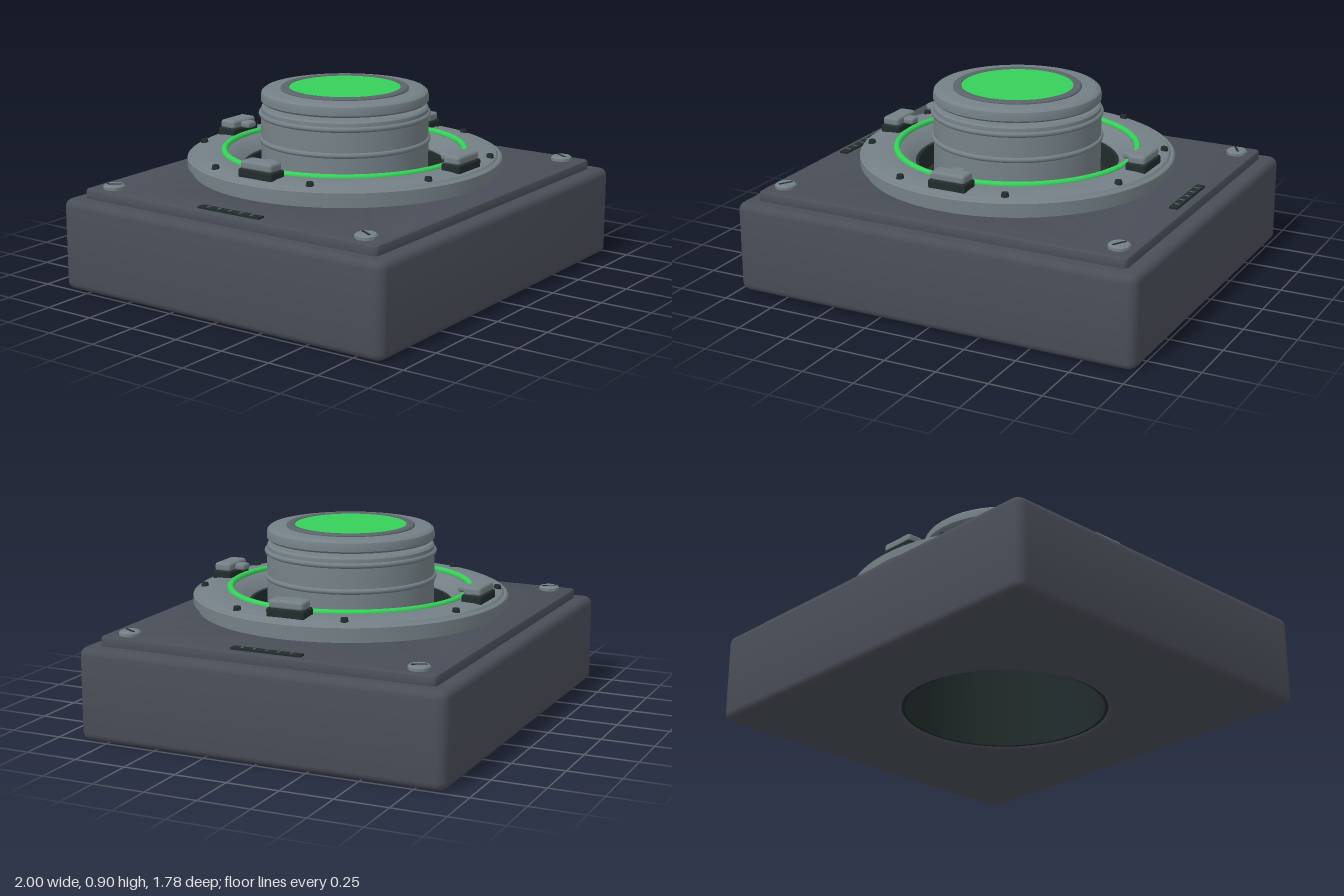
import * as THREE from 'three';
import { toCreasedNormals } from 'three/addons/utils/BufferGeometryUtils.js';
import { RoundedBoxGeometry } from 'three/addons/geometries/RoundedBoxGeometry.js';

const mat = (name, color) => new THREE.MeshStandardMaterial({ name, color });

export function createModel() {
  const root = new THREE.Group();
  root.name = 'pushButton';
  const casing = mat('casing slate', 0x4a4e58);
  const metal = mat('metal grey', 0x748086);
  const shade = mat('dark metal', 0x5a6469);
  const dark = mat('black rubber', 0x222c2c);
  const green = mat('signal green', 0x36d05a);

  const add = (name, geo, material, x = 0, y = 0, z = 0, parent = root) => {
    const mesh = new THREE.Mesh(geo, material);
    mesh.name = name;
    mesh.position.set(x, y, z);
    parent.add(mesh);
    return mesh;
  };
  const lathe = (pts) => toCreasedNormals(
    new THREE.LatheGeometry(pts.map(([r, y]) => new THREE.Vector2(r, y)), 96), 0.6);

  // Rounded slab with a round through hole, standing on y0
  const slab = (w, d, h, bevel, hole, y0) => {
    const a = w / 2 - bevel, b = d / 2 - bevel, r = 0.015;
    const s = new THREE.Shape();
    s.moveTo(-a + r, -b);
    s.lineTo(a - r, -b).quadraticCurveTo(a, -b, a, -b + r);
    s.lineTo(a, b - r).quadraticCurveTo(a, b, a - r, b);
    s.lineTo(-a + r, b).quadraticCurveTo(-a, b, -a, b - r);
    s.lineTo(-a, -b + r).quadraticCurveTo(-a, -b, -a + r, -b);
    s.holes.push(new THREE.Path().absarc(0, 0, hole + bevel, 0, Math.PI * 2, true));
    const g = new THREE.ExtrudeGeometry(s, {
      depth: h - 2 * bevel, bevelEnabled: true, bevelSize: bevel,
      bevelThickness: bevel, bevelSegments: 4, curveSegments: 32,
    });
    g.rotateX(-Math.PI / 2).translate(0, y0 + bevel, 0);
    return toCreasedNormals(g, 0.6);
  };

  // Housing
  add('housing', slab(2, 1.78, 0.43, 0.035, 0.478, 0), casing);
  add('topPlate', slab(1.85, 1.63, 0.055, 0.012, 0.478, 0.42), casing);
  add('holeLiner', lathe([[0.466, 0.02], [0.482, 0.02], [0.482, 0.53], [0.466, 0.53], [0.466, 0.02]]), dark);
  add('bezelSeat', lathe([[0.48, 0.47], [0.51, 0.47], [0.51, 0.505], [0.48, 0.505]]), shade);

  // Bezel, sloping outward from the light ring and inward to the hole
  add('bezel', lathe([
    [0.481, 0.5], [0.72, 0.5], [0.72, 0.53], [0.743, 0.533], [0.743, 0.572], [0.735, 0.578],
    [0.725, 0.578], [0.715, 0.588], [0.66, 0.596], [0.585, 0.598], [0.55, 0.592], [0.5, 0.555],
    [0.481, 0.535], [0.481, 0.5],
  ]), metal);
  add('lightRing', new THREE.TorusGeometry(0.568, 0.016, 12, 96).rotateX(Math.PI / 2), green, 0, 0.598, 0);

  // Plunger
  add('plungerFlange', lathe([[0, 0.42], [0.43, 0.42], [0.44, 0.43], [0.44, 0.45], [0.43, 0.46], [0, 0.46]]), dark);
  add('plunger', lathe([
    [0.395, 0.46], [0.395, 0.79], [0.393, 0.804], [0.383, 0.812], [0, 0.812],
  ]), metal);
  for (const y of [0.655, 0.775]) {
    add('plungerRib', new THREE.TorusGeometry(0.393, 0.013, 10, 96).rotateX(Math.PI / 2), metal, 0, y, 0);
  }

  // Floating cap with its lit centre
  add('cap', lathe([
    [0, 0.829], [0.385, 0.829], [0.395, 0.838], [0.395, 0.862], [0.391, 0.877],
    [0.38, 0.886], [0.36, 0.89], [0, 0.89],
  ]), metal);
  add('capRing', lathe([[0.302, 0.885], [0.302, 0.894], [0.295, 0.9], [0.265, 0.9], [0.26, 0.894], [0.26, 0.885]]), shade);
  add('capLight', new THREE.CylinderGeometry(0.262, 0.262, 0.008, 96), green, 0, 0.893, 0);

  // Four clamps around the bezel
  for (let i = 0; i < 4; i++) {
    const clamp = new THREE.Group();
    clamp.name = 'clamp';
    clamp.rotation.y = i * Math.PI / 2;
    root.add(clamp);
    add('clampBase', new RoundedBoxGeometry(0.188, 0.045, 0.1, 2, 0.01), dark, 0, 0.607, 0.645, clamp);
    add('clampBody', new RoundedBoxGeometry(0.172, 0.042, 0.086, 3, 0.014), metal, 0, 0.645, 0.645, clamp);
    add('clampTab', new RoundedBoxGeometry(0.064, 0.032, 0.07, 3, 0.013), metal, 0, 0.641, 0.588, clamp);
  }

  // Eight studs between the clamps
  for (let i = 0; i < 8; i++) {
    const a = (i + 0.5) * Math.PI / 4;
    add('stud', new THREE.CylinderGeometry(0.015, 0.019, 0.02, 16), dark,
      0.693 * Math.cos(a), 0.598, 0.693 * Math.sin(a));
  }

  for (const sx of [-1, 1]) {
    // Corner screws with slots
    for (const sz of [-1, 1]) {
      const screw = new THREE.Group();
      screw.name = 'screw';
      screw.position.set(sx * 0.842, 0, sz * 0.705);
      screw.rotation.y = sz * Math.PI / 3;
      root.add(screw);
      add('screwHead', lathe([[0.05, 0.47], [0.05, 0.488], [0.042, 0.495], [0, 0.495]]), metal, 0, 0, 0, screw);
      add('screwSlot', new THREE.BoxGeometry(0.07, 0.006, 0.011), dark, 0, 0.494, 0, screw);
    }
    // Side vents with small ribs
    add('vent', new THREE.BoxGeometry(0.04, 0.014, 0.34), dark, sx * 0.867, 0.477, 0);
    for (let i = -2; i <= 2; i++) {
      add('ventRib', new THREE.BoxGeometry(0.024, 0.008, 0.008), shade, sx * 0.867, 0.482, i * 0.06);
    }
  }
  return root;
}
